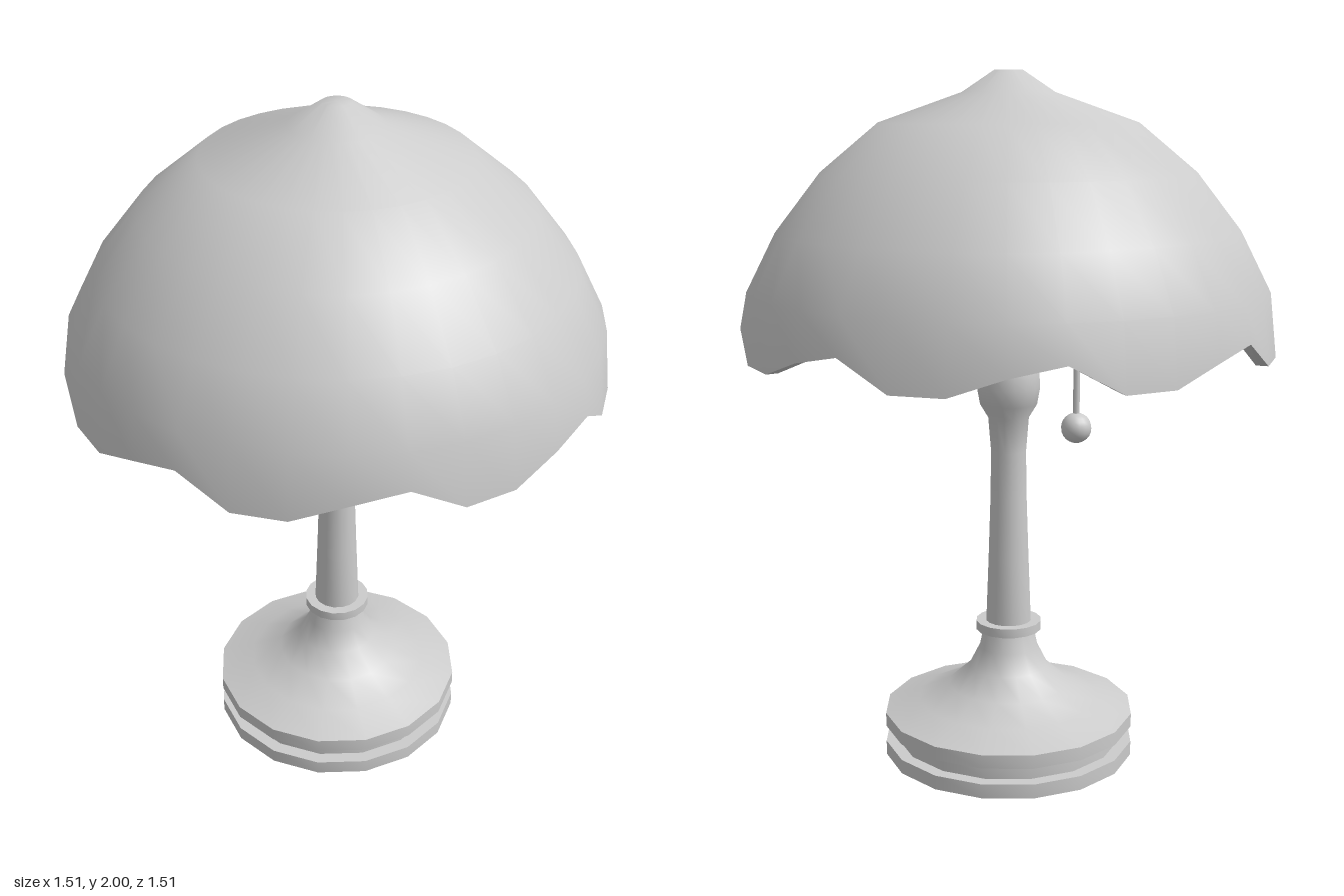
import * as THREE from 'three';
import { toCreasedNormals } from 'three/addons/utils/BufferGeometryUtils.js';

export function createModel() {
  const lamp = new THREE.Group();
  lamp.name = 'tableLamp';
  const material = new THREE.MeshStandardMaterial({ color: 0xcccccc });

  const add = (name, geometry, x = 0, y = 0, z = 0) => {
    const mesh = new THREE.Mesh(geometry, material);
    mesh.name = name;
    mesh.position.set(x, y, z);
    lamp.add(mesh);
    return mesh;
  };
  const lathe = (profile, sides) =>
    new THREE.LatheGeometry(profile.map(([r, y]) => new THREE.Vector2(r, y)), sides);
  const crease = (geometry, angle = 0.7) => toCreasedNormals(geometry, angle);

  // Stepped foot with a groove, flaring up into the neck
  add('base', crease(lathe([
    [0, 0], [0.372, 0], [0.372, 0.042], [0.335, 0.042], [0.335, 0.09],
    [0.372, 0.09], [0.372, 0.13], [0.27, 0.163], [0.18, 0.205], [0.117, 0.26],
    [0.087, 0.32], [0.075, 0.38], [0, 0.38],
  ], 16)));

  // Ring between the base and the stem
  add('collar', crease(lathe([
    [0, 0.375], [0.097, 0.375], [0.097, 0.402], [0, 0.402],
  ], 16)));

  // Tapered stem with a bulb below the shade
  add('stem', crease(lathe([
    [0, 0.39], [0.068, 0.39], [0.06, 0.6], [0.054, 0.78], [0.052, 0.92], [0.06, 1.02],
    [0.084, 1.06], [0.093, 1.11], [0.09, 1.16], [0.076, 1.205], [0.056, 1.235],
    [0.055, 1.4],
  ], 16), 0.9));

  // Domed shade: flat ceiling, inner lip, rim, outer dome
  const profile = [
    [0, 1.38], [0.705, 1.38], [0.722, 1.22], [0.757, 1.22], [0.737, 1.4],
    [0.655, 1.56], [0.53, 1.72], [0.365, 1.857], [0.13, 1.94], [0.04, 2], [0, 2],
  ];
  const shade = lathe(profile, 32);

  // Scalloped rim: one notch every four segments
  const lift = [0, 0.05, 0.08, 0];
  const position = shade.attributes.position;
  for (let i = 0; i <= 32; i++) {
    for (const row of [2, 3]) {
      const v = i * profile.length + row;
      position.setY(v, position.getY(v) + lift[i % 4]);
    }
  }
  add('shade', crease(shade));

  // Pull cord hanging from the ceiling of the shade
  add('pullCord', new THREE.CylinderGeometry(0.01, 0.01, 0.44, 8), -0.243, 1.18, 0);
  add('pullBall', new THREE.SphereGeometry(0.046, 16, 12), -0.243, 0.957, 0);

  return lamp;
}
